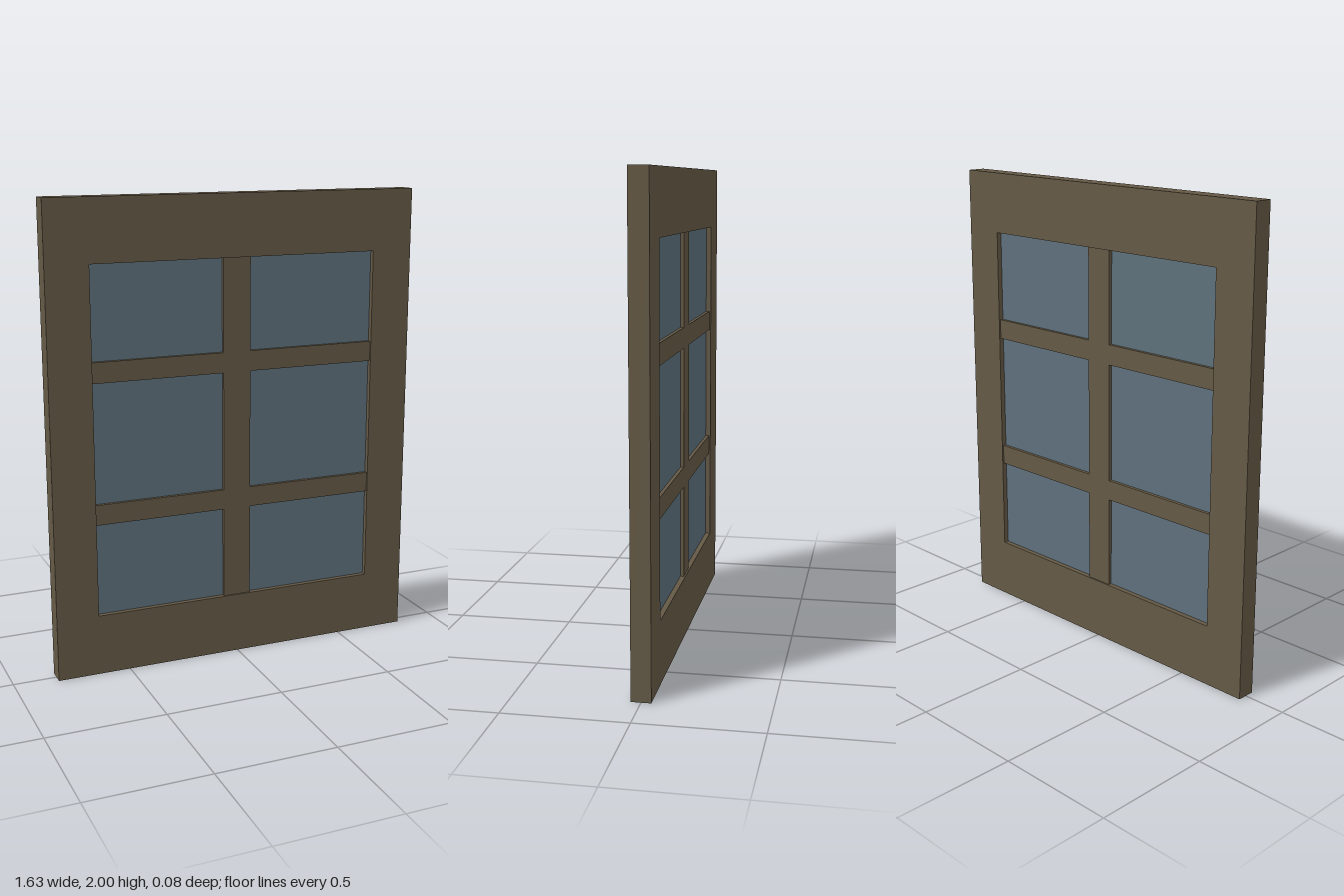
import * as THREE from 'three';

export function createModel() {
  const group = new THREE.Group();
  const wood = new THREE.MeshStandardMaterial({ color: 0x645945 });
  wood.name = 'brown wood';
  const glass = new THREE.MeshStandardMaterial({ color: 0x5e707b });
  glass.name = 'blue grey glass';

  const W = 0.815, H = 2, D = 0.08;               // half width, height, depth
  const inX = 0.633, inY0 = 0.262, inY1 = 1.738;  // opening
  const barX = 0.061, barD = 0.066, paneD = 0.036;

  // Outer frame with one rectangular opening
  const outline = new THREE.Shape();
  outline.moveTo(-W, 0).lineTo(W, 0).lineTo(W, H).lineTo(-W, H).closePath();
  const opening = new THREE.Path();
  opening.moveTo(-inX, inY0).lineTo(-inX, inY1).lineTo(inX, inY1).lineTo(inX, inY0).closePath();
  outline.holes.push(opening);
  const frameGeometry = new THREE.ExtrudeGeometry(outline, { depth: D, bevelEnabled: false });
  frameGeometry.translate(0, 0, -D / 2);
  const frame = new THREE.Mesh(frameGeometry, wood);
  frame.name = 'frame';
  group.add(frame);

  function slab(name, material, x0, x1, y0, y1, depth) {
    const mesh = new THREE.Mesh(new THREE.BoxGeometry(x1 - x0, y1 - y0, depth), material);
    mesh.position.set((x0 + x1) / 2, (y0 + y1) / 2, 0);
    mesh.name = name;
    group.add(mesh);
  }

  // Glazing bars, slightly recessed from the frame
  slab('uprightBar', wood, -barX, barX, inY0, inY1, barD);
  const crossBars = [[0.659, 0.746], [1.257, 1.344]];
  for (const [y0, y1] of crossBars) {
    slab('leftCrossBar', wood, barX, inX, y0, y1, barD);
    slab('rightCrossBar', wood, -inX, -barX, y0, y1, barD);
  }

  // Six panes filling the gaps between the bars
  const rows = [[inY0, 0.659], [0.746, 1.257], [1.344, inY1]];
  for (const [y0, y1] of rows) {
    slab('leftPane', glass, barX, inX, y0, y1, paneD);
    slab('rightPane', glass, -inX, -barX, y0, y1, paneD);
  }
  return group;
}
